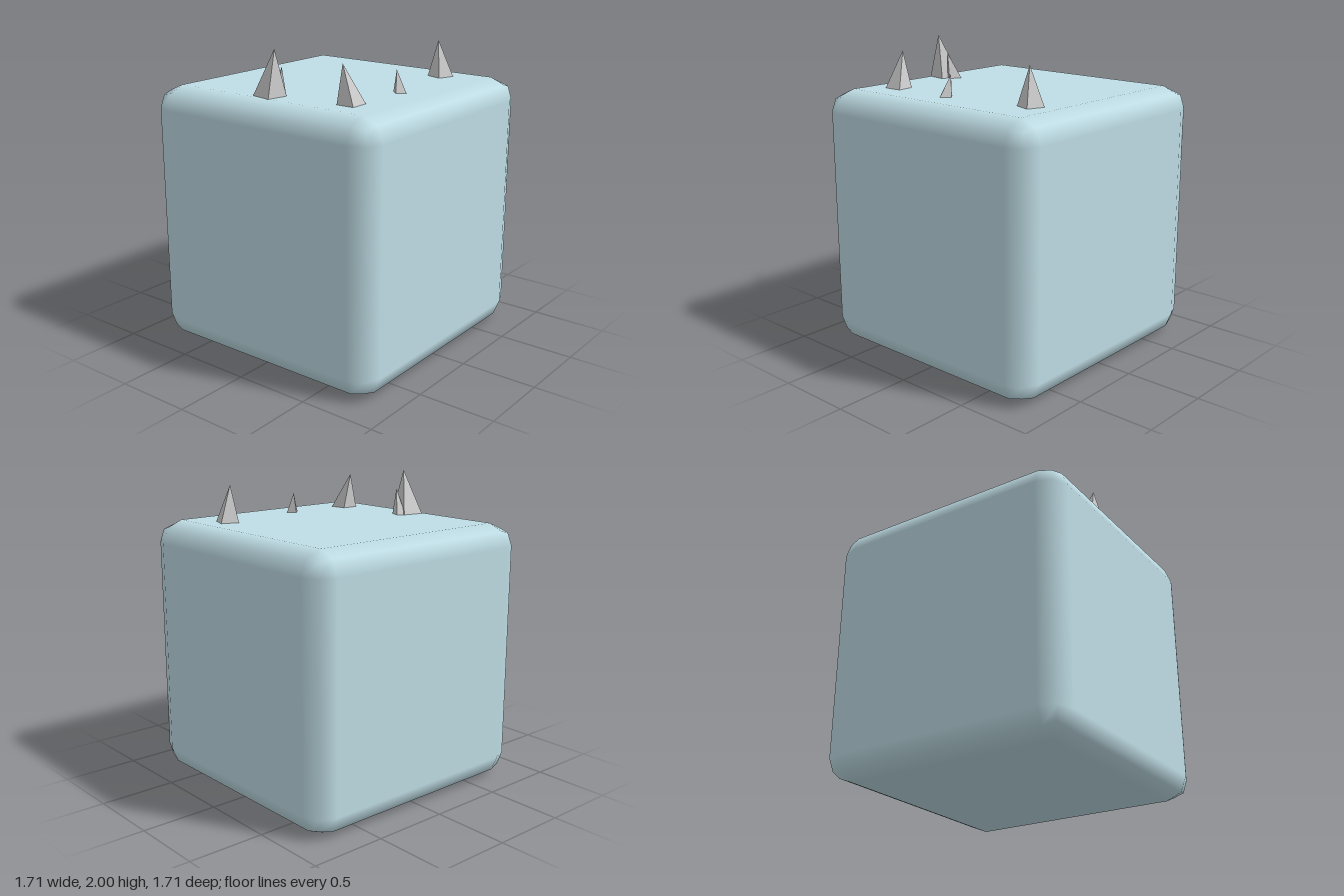
import * as THREE from 'three';
import { RoundedBoxGeometry } from 'three/addons/geometries/RoundedBoxGeometry.js';

const SIZE = 1.71, BEVEL = 0.145;

// Leaning four-sided spike: apex [x, y, z] and base corners [x, z], clockwise from above
function spikeGeometry(apex, base) {
  const corners = base.map(([x, z]) => [x, SIZE - 0.003, z]);
  const points = [];
  for (let i = 0; i < 4; i++) points.push(...apex, ...corners[(i + 1) % 4], ...corners[i]);
  for (const i of [0, 1, 2, 0, 2, 3]) points.push(...corners[i]);
  const geometry = new THREE.BufferGeometry();
  geometry.setAttribute('position', new THREE.Float32BufferAttribute(points, 3));
  geometry.computeVertexNormals();
  return geometry;
}

export function createModel() {
  const model = new THREE.Group();
  model.name = 'spikedBlock';

  // Block with a two-step bevel and smooth normals
  const block = new THREE.Mesh(
    new RoundedBoxGeometry(SIZE, SIZE, SIZE, 1, BEVEL),
    new THREE.MeshStandardMaterial({ color: 0xbfdde5 })
  );
  block.name = 'block';
  block.position.y = SIZE / 2;
  model.add(block);

  // Spikes scattered over the top
  const spikeMaterial = new THREE.MeshStandardMaterial({ color: 0xcccccc, flatShading: true });
  const spikes = [
    { name: 'tallSpike', apex: [-0.64, 2.0, 0.01], base: [[-0.69, -0.125], [-0.545, -0.1], [-0.575, 0.045], [-0.715, 0.02]] },
    { name: 'tallSpikeOffshoot', apex: [-0.565, 1.88, 0], base: [[-0.56, -0.095], [-0.505, -0.07], [-0.54, 0.01], [-0.59, -0.015]] },
    { name: 'rightFrontSpike', apex: [-0.535, 1.945, 0.437], base: [[-0.583, 0.43], [-0.467, 0.43], [-0.455, 0.548], [-0.583, 0.552]] },
    { name: 'leftFrontSpike', apex: [0.52, 1.95, 0.415], base: [[0.503, 0.35], [0.615, 0.39], [0.575, 0.503], [0.463, 0.463]] },
    { name: 'smallSpike', apex: [-0.055, 1.845, 0.483], base: [[-0.065, 0.468], [-0.02, 0.517], [-0.07, 0.57], [-0.115, 0.52]] },
  ];
  for (const { name, apex, base } of spikes) {
    const spike = new THREE.Mesh(spikeGeometry(apex, base), spikeMaterial);
    spike.name = name;
    model.add(spike);
  }
  return model;
}
